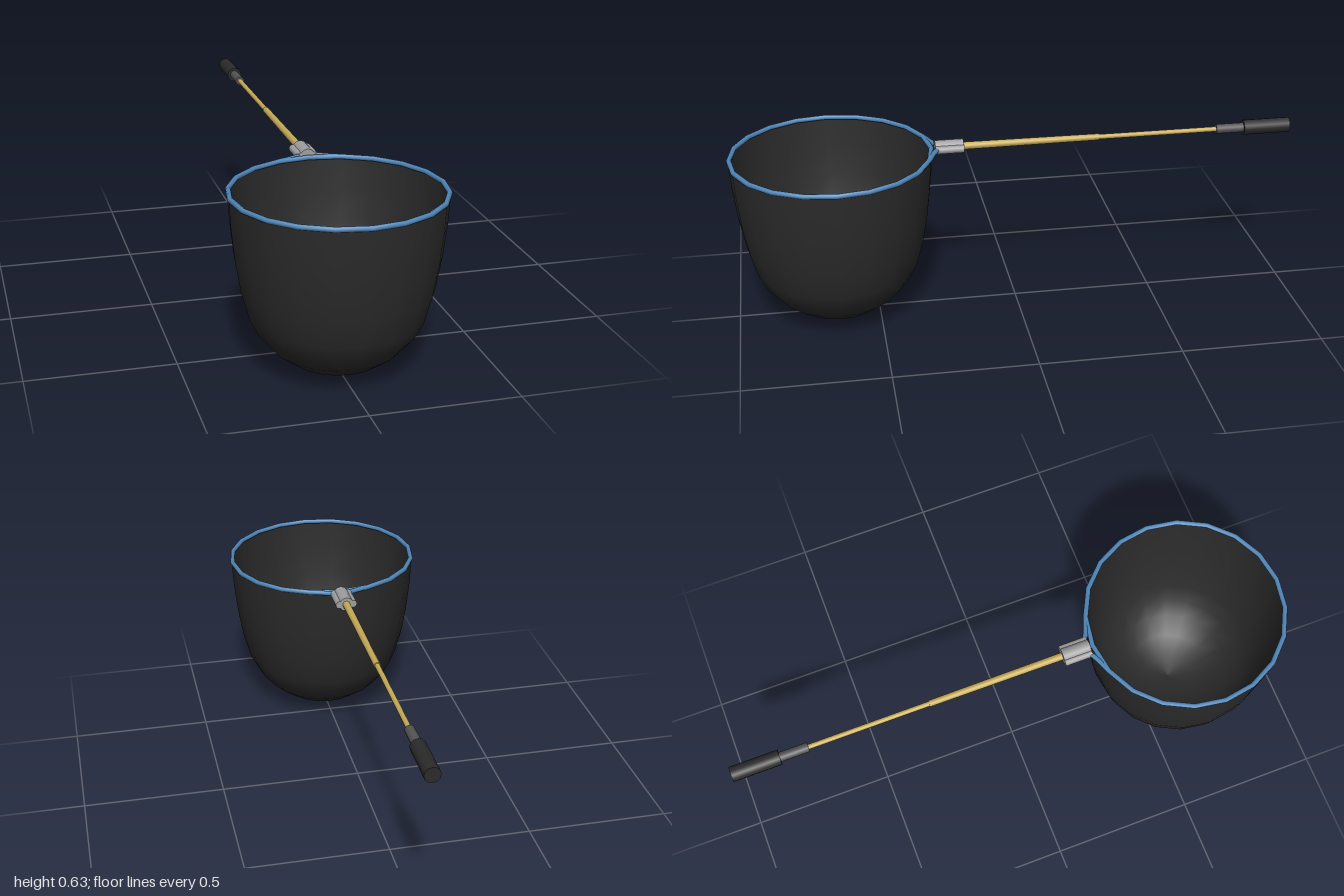
import * as THREE from 'three';

const RIM_Y = 0.606, BAG_Z = 0.644;

export function createModel() {
  const model = new THREE.Group();
  const mat = (color, extra = {}) => new THREE.MeshStandardMaterial({ color, ...extra });
  const black = mat(0x2b2b2b), darkGrey = mat(0x555555), blue = mat(0x4f86b8);
  const brass = mat(0xc8ac58), metal = mat(0xa0a0a0);

  const add = (name, geometry, material, x = 0, y = 0, z = 0) => {
    const mesh = new THREE.Mesh(geometry, material);
    mesh.name = name;
    mesh.position.set(x, y, z);
    model.add(mesh);
    return mesh;
  };
  // Rod lying along z, from the front end to the back end
  const rod = (name, material, zFront, zBack, rFront, rBack = rFront, x = 0, sides = 12) => {
    const geometry = new THREE.CylinderGeometry(rFront, rBack, zFront - zBack, sides).rotateX(Math.PI / 2);
    return add(name, geometry, material, x, RIM_Y, (zFront + zBack) / 2);
  };

  // Deep open bag
  const profile = [[0, 0], [0.08, 0.01], [0.153, 0.04], [0.214, 0.085], [0.259, 0.138],
    [0.289, 0.195], [0.315, 0.29], [0.333, 0.395], [0.345, 0.505], [0.351, 0.604]];
  add('bag', new THREE.LatheGeometry(profile.map(([r, y]) => new THREE.Vector2(r, y)), 20),
    mat(0x2b2b2b, { side: THREE.DoubleSide }), 0, 0, BAG_Z);

  // Faceted hoop
  add('rim', new THREE.TorusGeometry(0.347, 0.009, 8, 20).rotateX(Math.PI / 2), blue, 0, RIM_Y, BAG_Z);

  // Hoop ends bending into the socket
  for (const s of [-1, 1]) {
    const path = new THREE.CatmullRomCurve3([
      new THREE.Vector3(s * 0.107, RIM_Y, 0.314),
      new THREE.Vector3(s * 0.055, RIM_Y + 0.001, 0.293),
      new THREE.Vector3(s * 0.027, RIM_Y + 0.002, 0.275),
      new THREE.Vector3(s * 0.024, RIM_Y, 0.24),
    ]);
    add(s > 0 ? 'leftRimEnd' : 'rightRimEnd', new THREE.TubeGeometry(path, 8, 0.009, 8), blue);
    rod(s > 0 ? 'leftSocketTube' : 'rightSocketTube', metal, 0.284, 0.184, 0.014, 0.014, s * 0.025);
  }
  rod('socket', metal, 0.284, 0.184, 0.026);

  // Telescopic pole
  rod('lowerPole', brass, 0.2, -0.3, 0.0135, 0.0115);
  rod('upperPole', brass, -0.29, -0.75, 0.009);

  // Handle
  rod('gripCollar', darkGrey, -0.73, -0.84, 0.017);
  rod('grip', black, -0.83, -1, 0.027);

  return model;
}
